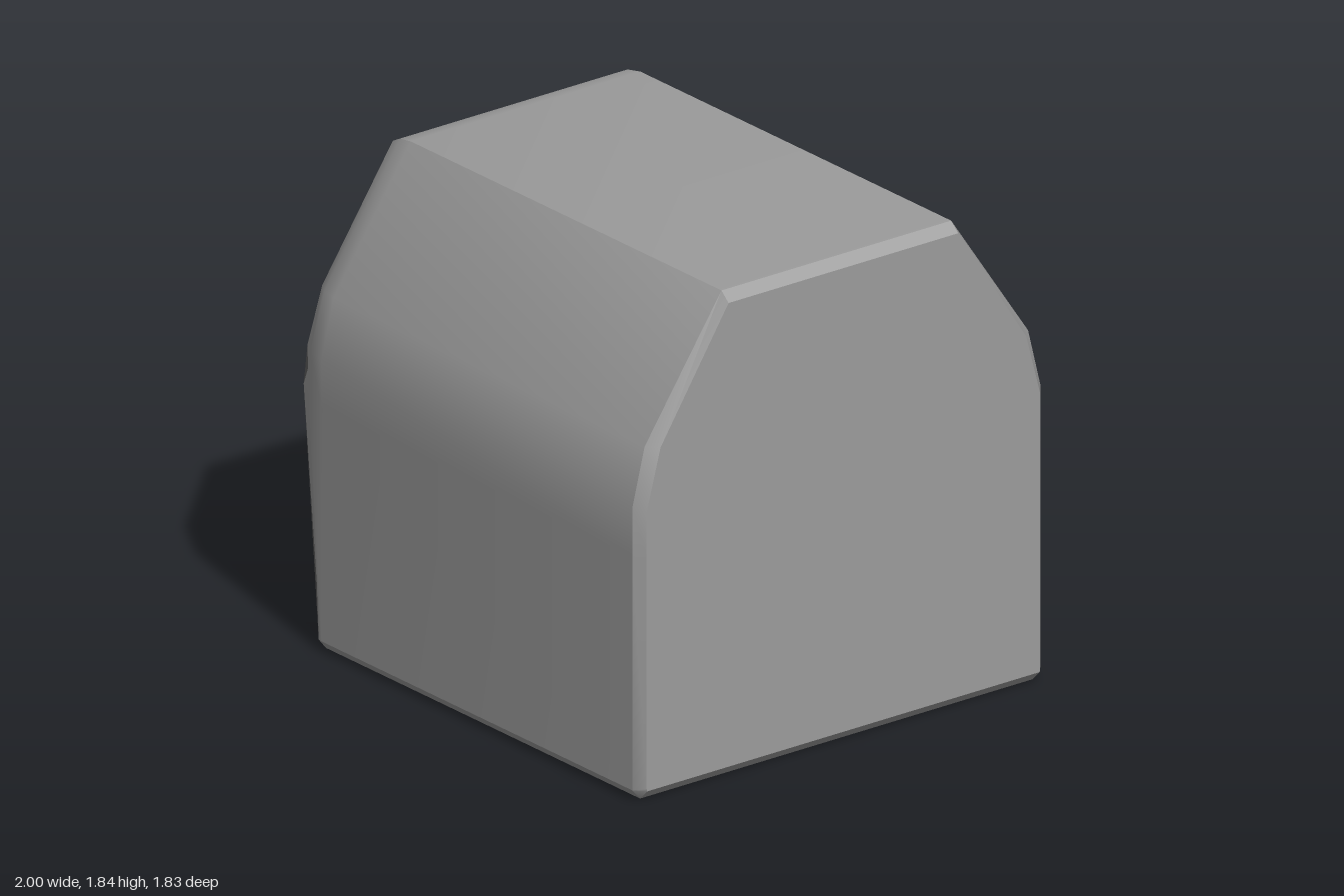
import * as THREE from 'three';
import { toCreasedNormals } from 'three/addons/utils/BufferGeometryUtils.js';

const outerGrey = new THREE.MeshStandardMaterial({ color: 0x9c9c9c, side: THREE.DoubleSide });
const innerGrey = new THREE.MeshStandardMaterial({ color: 0x606060, side: THREE.DoubleSide });

// Mesh from a list of polygons, each fanned into triangles
function polyMesh(name, polygons, material, crease = 0.6) {
  const pos = [];
  for (const p of polygons) {
    for (let i = 1; i < p.length - 1; i++) pos.push(...p[0], ...p[i], ...p[i + 1]);
  }
  let geo = new THREE.BufferGeometry();
  geo.setAttribute('position', new THREE.Float32BufferAttribute(pos, 3));
  geo = toCreasedNormals(geo, crease);
  const mesh = new THREE.Mesh(geo, material);
  mesh.name = name;
  return mesh;
}

const flipZ = ([x, y, z]) => [x, y, -z];
const reversed = (poly) => [...poly].reverse();
const bothSides = (poly) => [poly, reversed(poly.map(flipZ))];
// Strip spanning from an edge at +z to its mirror at -z
const across = (a, b) => [a, b, flipZ(b), flipZ(a)];

// Half section (z > 0, bottom to top) completed to a closed ring
const ring = (half) => [...half, ...reversed(half.map(flipZ))];

// Skin through a row of half sections, closed at the first one
function skin(sections) {
  const rings = sections.map(ring);
  const n = rings[0].length;
  const faces = [reversed(rings[0])];
  for (let s = 0; s < rings.length - 1; s++) {
    for (let i = 0; i < n; i++) {
      const j = (i + 1) % n;
      faces.push([rings[s][i], rings[s][j], rings[s + 1][j], rings[s + 1][i]]);
    }
  }
  return faces;
}

export function createModel() {
  const group = new THREE.Group();
  group.name = 'openBin';

  // Half sections along the body
  const outline = [[0, 0.88], [0.04, 0.915], [0.93, 0.915], [1.11, 0.915], [1.33, 0.86], [1.835, 0.515]];
  const at = (x) => outline.map(([y, z]) => [x, y, z]);
  const closedEnd = [[0.04, 0.88], [0.05, 0.882], [0.93, 0.882], [1.1, 0.882], [1.33, 0.82], [1.8, 0.515]]
    .map(([y, z]) => [1, y, z]);
  const start = at(-0.79);
  const rim = [
    [-0.81, 0, 0.88], [-0.81, 0.04, 0.912], [-0.96, 0.95, 0.86],
    [-0.945, 1.1, 0.855], [-0.925, 1.32, 0.805], [-0.91, 1.795, 0.5],
  ];
  // Rounded transition into the rim
  const bend = start.map((p, i) => [0.55, 0.3, 0.3].map((t, k) => p[k] + (rim[i][k] - p[k]) * t));
  const body = [closedEnd, at(0.96), start, bend];

  // Outer shell with its closed end
  group.add(polyMesh('shell', skin([...body, rim]), outerGrey));

  // Darker lining just inside the shell, meeting it at the rim
  const inset = ([x, y, z]) => [x > 0 ? x - 0.008 : x, 0.9 + (y - 0.9) * 0.991, z * 0.991];
  const lining = skin([...body.map((section) => section.map(inset)), rim]);
  group.add(polyMesh('shellLining', lining.map(reversed), innerGrey));

  // Leaning panel under the opening, with chamfered edges
  const low = [-0.84, 0.04, 0.88];
  const high = [-1, 0.905, 0.81];
  const lip = [-0.965, 0.95, 0.79];
  group.add(polyMesh('endPanel', [
    across(low, high),
    across(rim[0], low),
    across(high, lip),
    ...bothSides([rim[1], rim[2], high, low]),
    ...bothSides([rim[0], rim[1], low]),
    ...bothSides([rim[2], lip, high]),
  ], outerGrey, 0.3));

  // Dark back of the leaning panel
  group.add(polyMesh('endPanelLining', [across(lip, [-0.8, 0.03, 0.86])], innerGrey));

  // Narrow ledges running back from the lip, falling towards the side walls
  group.add(polyMesh('innerLedges', bothSides(
    [lip, rim[2], [-0.8, 0.86, 0.9], [0.97, 0.86, 0.88], [0.97, 0.95, 0.8]],
  ), innerGrey, 0.3));

  return group;
}
